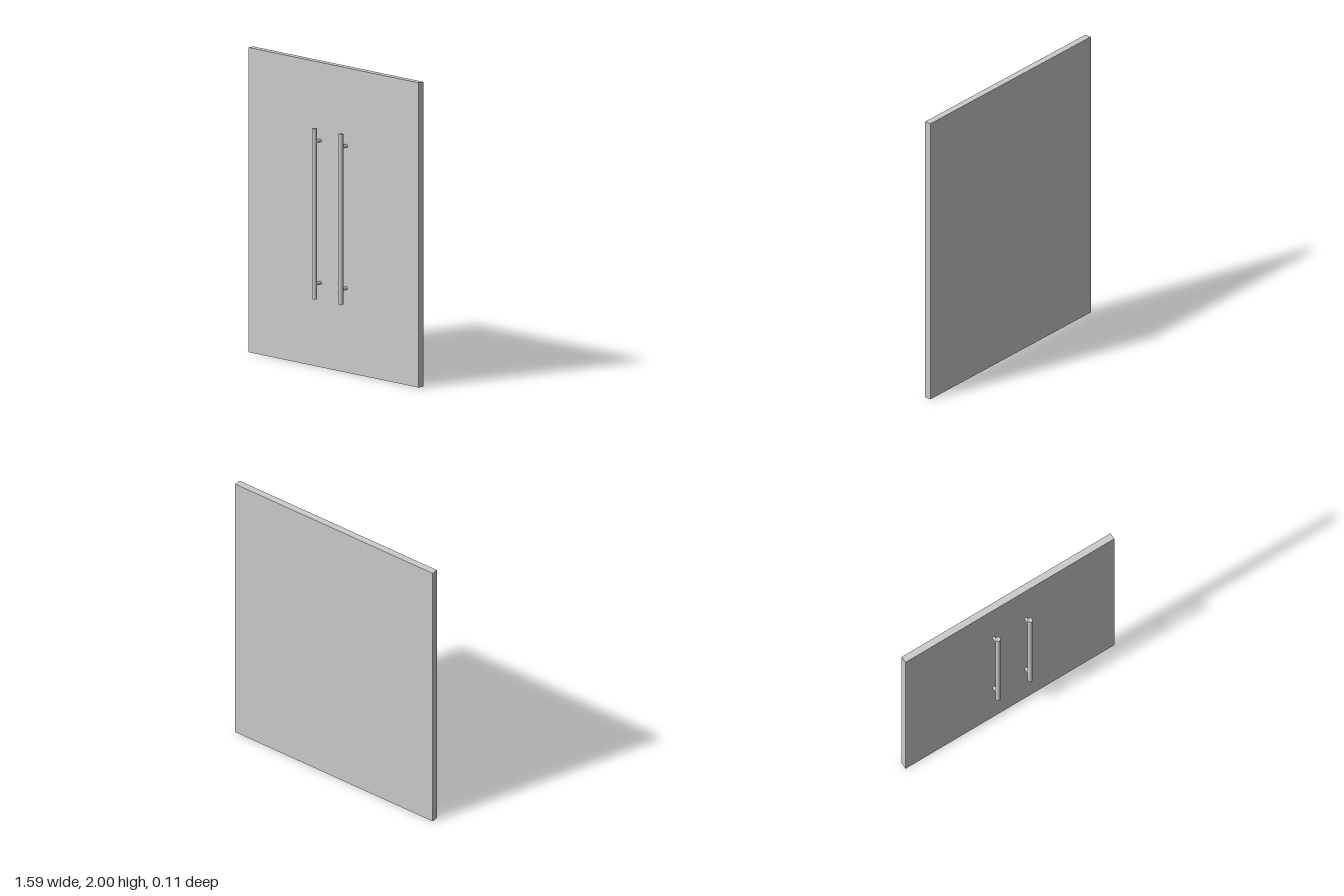
import * as THREE from 'three';

export function createModel() {
  const group = new THREE.Group();
  const material = new THREE.MeshStandardMaterial({ color: 0xcccccc });

  const add = (parent, name, geometry, x, y, z) => {
    const mesh = new THREE.Mesh(geometry, material);
    mesh.name = name;
    mesh.position.set(x, y, z);
    parent.add(mesh);
    return mesh;
  };

  // Flat door slab
  const back = -0.056, front = -0.011;
  add(group, 'doorPanel', new THREE.BoxGeometry(1.588, 2, front - back), 0, 1, (back + front) / 2);

  // Pair of upright pull bars, each on two round standoffs
  const barZ = 0.04, barRadius = 0.016, barBottom = 0.455, barTop = 1.574;
  const barGeometry = new THREE.CylinderGeometry(barRadius, barRadius, barTop - barBottom, 32);
  const postGeometry = new THREE.CylinderGeometry(0.011, 0.011, barZ - front, 24).rotateX(Math.PI / 2);

  for (const side of [-1, 1]) {
    const handle = new THREE.Group();
    handle.name = side > 0 ? 'leftHandle' : 'rightHandle';
    handle.position.x = side * 0.122;
    add(handle, 'handleBar', barGeometry, 0, (barBottom + barTop) / 2, barZ);
    add(handle, 'lowerStandoff', postGeometry, 0, 0.554, (barZ + front) / 2);
    add(handle, 'upperStandoff', postGeometry, 0, 1.488, (barZ + front) / 2);
    group.add(handle);
  }
  return group;
}
